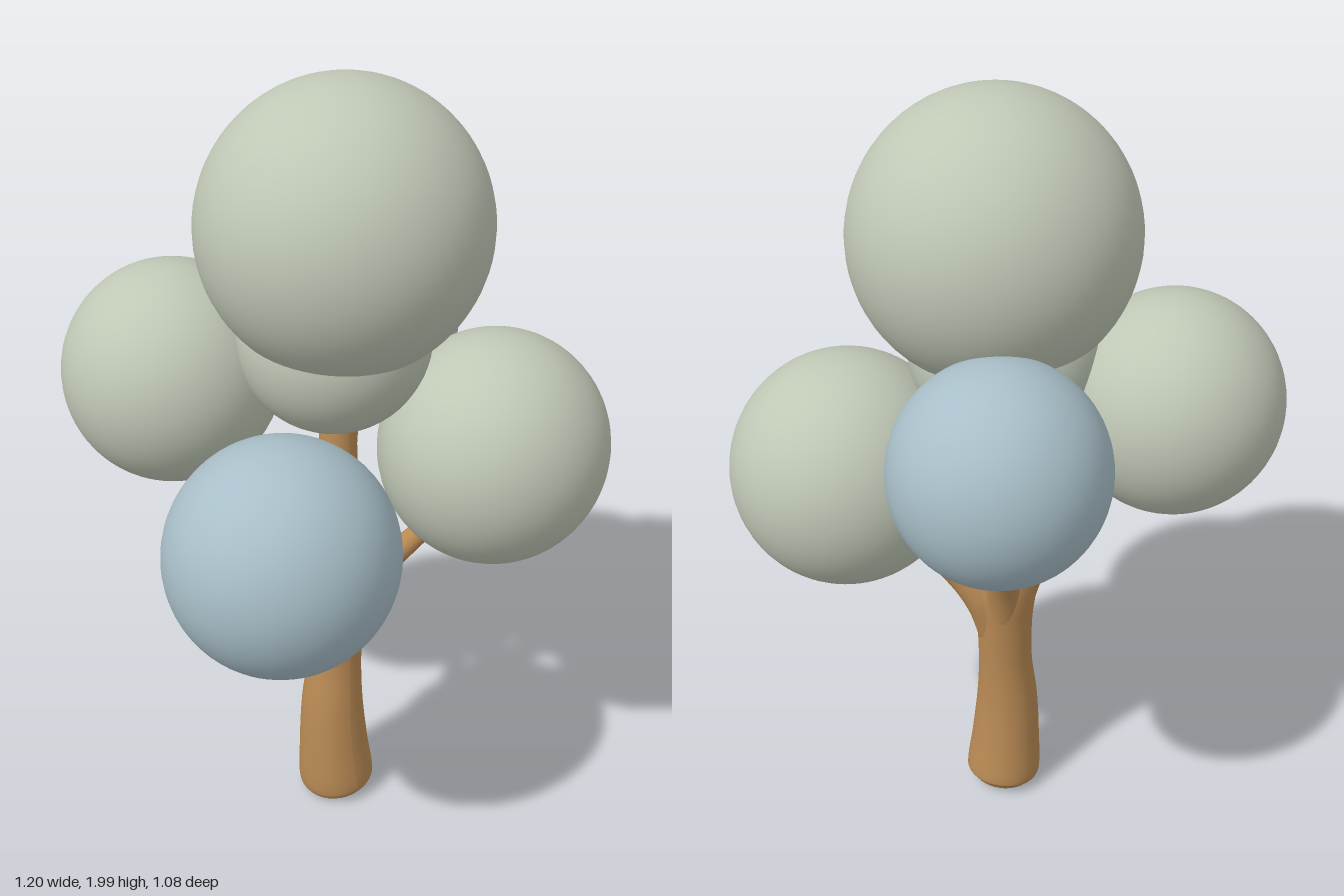
import * as THREE from 'three';

const material = (name, color) => {
  const m = new THREE.MeshStandardMaterial({ color });
  m.name = name;
  return m;
};

// Tapered limb through stations [x, y, z, radius], as a bent closed cylinder
function limbGeometry(stations, sides = 28, rows = 36) {
  const path = new THREE.CatmullRomCurve3(stations.map(([x, y, z]) => new THREE.Vector3(x, y, z)));
  const radii = new THREE.CatmullRomCurve3(stations.map((s, i) => new THREE.Vector3(i, s[3], 0)));
  const geometry = new THREE.CylinderGeometry(1, 1, 1, sides, rows);
  const pos = geometry.attributes.position;
  const up = new THREE.Vector3(0, 1, 0);
  const turn = new THREE.Quaternion();
  const v = new THREE.Vector3();
  for (let i = 0; i < pos.count; i++) {
    const t = THREE.MathUtils.clamp(pos.getY(i) + 0.5, 0, 1);
    turn.setFromUnitVectors(up, path.getTangent(t));
    v.set(pos.getX(i), 0, pos.getZ(i)).multiplyScalar(radii.getPoint(t).y);
    v.applyQuaternion(turn).add(path.getPoint(t));
    pos.setXYZ(i, v.x, v.y, v.z);
  }
  geometry.computeVertexNormals();
  return geometry;
}

export function createModel() {
  const tree = new THREE.Group();
  tree.name = 'tree';
  const bark = material('bark brown', 0xb98a54);
  const sage = material('sage green', 0xbfc7b5);
  const blue = material('dusty blue', 0xa8bec8);

  const add = (name, geometry, mat) => {
    const mesh = new THREE.Mesh(geometry, mat);
    mesh.name = name;
    tree.add(mesh);
    return mesh;
  };

  // Trunk with a rounded, slightly tilted foot
  add('trunk', limbGeometry([
    [-0.006, 0.022, 0.035, 0.08],
    [-0.01, 0.05, 0.035, 0.1],
    [-0.018, 0.17, 0.033, 0.092],
    [-0.02, 0.3, 0.03, 0.082],
    [-0.01, 0.44, 0.026, 0.071],
    [-0.004, 0.58, 0.022, 0.073],
    [-0.004, 0.7, 0.018, 0.08],
    [-0.004, 0.8, 0.018, 0.062],
    [-0.004, 0.95, 0.025, 0.053],
    [-0.004, 1.08, 0.03, 0.048],
    [-0.004, 1.24, 0.03, 0.035],
  ], 36, 80), bark);

  // Branches flare out of the trunk and end inside the outer crowns
  const branches = {
    frontRightBranch: [[-0.02, 0.5, 0.035, 0.045], [-0.055, 0.62, 0.055, 0.05], [-0.12, 0.71, 0.1, 0.034], [-0.24, 0.85, 0.19, 0.022]],
    frontLeftBranch: [[0.01, 0.5, 0.03, 0.045], [0.045, 0.64, 0.05, 0.046], [0.1, 0.74, 0.1, 0.034], [0.22, 0.89, 0.18, 0.022]],
    backRightBranch: [[-0.01, 0.56, 0.01, 0.045], [-0.04, 0.72, -0.02, 0.044], [-0.1, 0.86, -0.085, 0.026], [-0.21, 1.09, -0.2, 0.02]],
    backLeftBranch: [[0.01, 0.56, 0.01, 0.045], [0.04, 0.72, -0.02, 0.044], [0.1, 0.86, -0.085, 0.026], [0.2, 1.09, -0.19, 0.02]],
  };
  for (const [name, stations] of Object.entries(branches)) add(name, limbGeometry(stations), bark);

  // Foliage balls: name, material, centre, radii
  const ball = new THREE.SphereGeometry(1, 56, 36);
  const crowns = [
    ['topCrown', sage, [0, 1.655, 0.048], [0.345, 0.345, 0.338]],
    ['innerCrown', sage, [-0.01, 1.38, 0.02], [0.235, 0.235, 0.235]],
    ['frontRightCrown', blue, [-0.325, 1.01, 0.268], [0.275, 0.281, 0.271]],
    ['frontLeftCrown', sage, [0.308, 1.081, 0.247], [0.287, 0.293, 0.28]],
    ['backLeftCrown', blue, [0.253, 1.256, -0.236], [0.256, 0.264, 0.254]],
    ['backRightCrown', sage, [-0.283, 1.245, -0.272], [0.27, 0.275, 0.268]],
  ];
  for (const [name, mat, centre, radii] of crowns) {
    const mesh = add(name, ball, mat);
    mesh.position.set(...centre);
    mesh.scale.set(...radii);
  }

  return tree;
}
